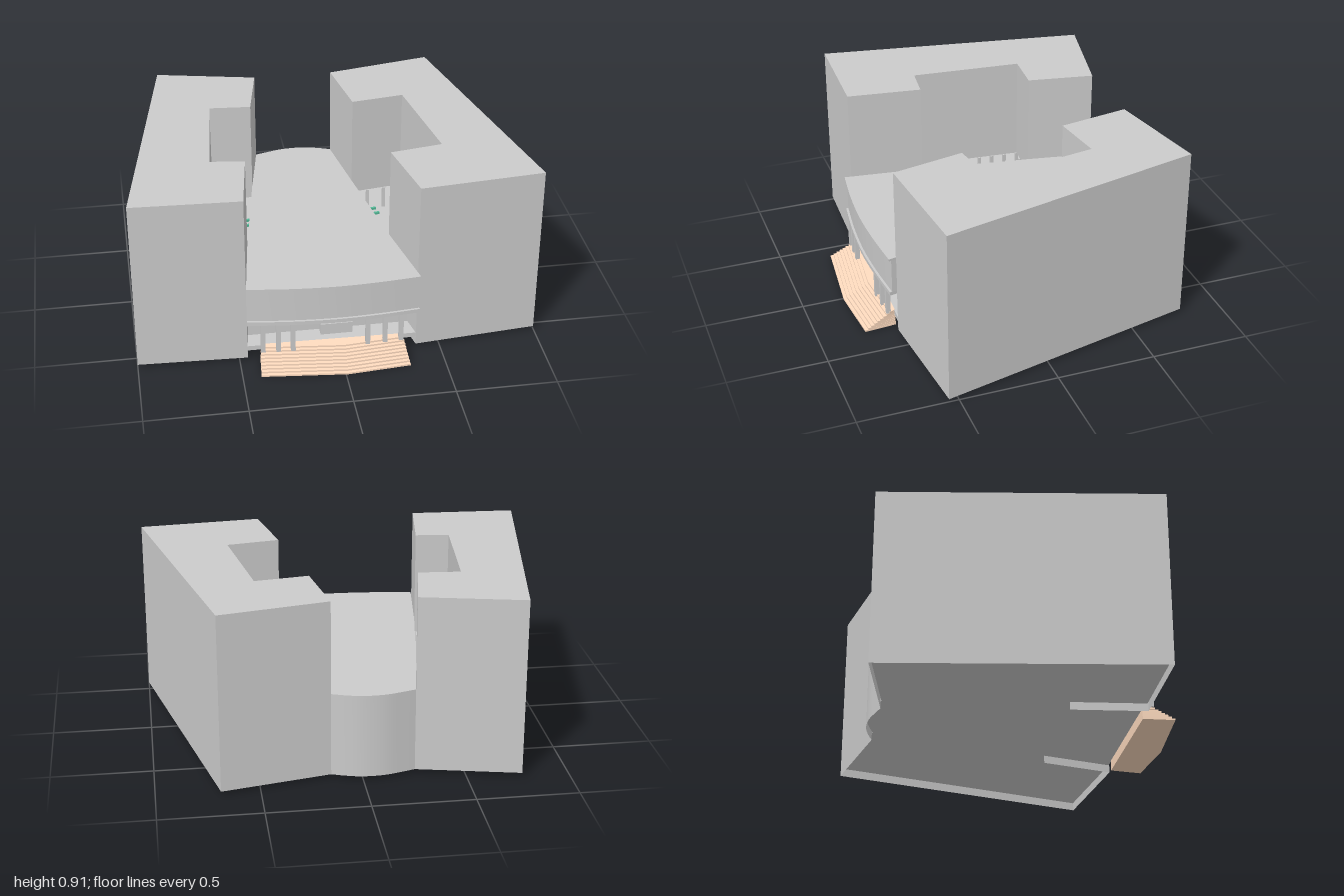
import * as THREE from 'three';
import { toCreasedNormals } from 'three/addons/utils/BufferGeometryUtils.js';

const grey = new THREE.MeshStandardMaterial({ color: 0xcccccc, side: THREE.DoubleSide });
const stone = new THREE.MeshStandardMaterial({ color: 0xffdcc0 });
const green = new THREE.MeshStandardMaterial({ color: 0x55bb99 });

// plan outlines are lists of [x, z]
const WING_RIGHT = [[-1, 0.575], [-0.46, 0.597], [-0.41, 0.22], [-0.58, 0.2], [-0.53, -0.36],
  [-0.32, -0.345], [-0.26, -0.68], [-0.77, -0.79]];
const WING_LEFT = [[1, 0.55], [0.38, 0.608], [0.305, 0.24], [0.57, 0.195], [0.48, -0.36],
  [0.21, -0.32], [0.15, -0.68], [0.69, -0.79]];

function curve(points, n) {
  return new THREE.SplineCurve(points.map(p => new THREE.Vector2(...p))).getPoints(n).map(p => [p.x, p.y]);
}
// gentle bow of the front, set back by d
const frontArc = d => curve([[-0.463, 0.633 - d], [-0.25, 0.659 - d], [-0.03, 0.671 - d],
  [0.18, 0.664 - d], [0.387, 0.646 - d]], 20);
const backArc = curve([[0.15, -0.68], [0.09, -0.702], [0.02, -0.72], [-0.05, -0.725],
  [-0.12, -0.719], [-0.19, -0.701], [-0.26, -0.68]], 24);

export function createModel() {
  const model = new THREE.Group();

  function add(name, geometry, material = grey, parent = model) {
    const mesh = new THREE.Mesh(geometry, material);
    mesh.name = name;
    parent.add(mesh);
    return mesh;
  }
  // plan outline raised from y0 to y1
  function slab(name, plan, y0, y1, material = grey, parent = model) {
    const shape = new THREE.Shape(plan.map(([x, z]) => new THREE.Vector2(x, -z)));
    const g = new THREE.ExtrudeGeometry(shape, { depth: y1 - y0, bevelEnabled: false });
    g.rotateX(-Math.PI / 2).translate(0, y0, 0);
    return add(name, toCreasedNormals(g, 0.5), material, parent);
  }
  // thin upright wall along a plan path
  function wall(name, path, y0, y1) {
    const pos = [], idx = [];
    path.forEach(([x, z], i) => {
      pos.push(x, y0, z, x, y1, z);
      if (i) {
        const a = 2 * i - 2;
        idx.push(a, a + 2, a + 1, a + 1, a + 2, a + 3);
      }
    });
    const g = new THREE.BufferGeometry();
    g.setAttribute('position', new THREE.Float32BufferAttribute(pos, 3));
    g.setIndex(idx);
    return add(name, toCreasedNormals(g, 0.5));
  }
  function column(x, z, y0, y1, w = 0.02) {
    const g = new THREE.BoxGeometry(w, y1 - y0, w);
    add('column', g).position.set(x, (y0 + y1) / 2, z);
  }

  // wings: solid upper storeys over an open, column-lined lower gallery
  for (const [side, plan] of [['right', WING_RIGHT], ['left', WING_LEFT]]) {
    slab(side + 'Wing', plan, 0.37, 0.91);
    const path = [plan[6], plan[7], plan[0], plan[1], plan[2]];
    wall(side + 'WingLowerWall', side === 'left' ? path.reverse() : path, 0.015, 0.37);
    // gallery columns around the courtyard
    for (let k = 2; k < 5; k++) {
      const [a, b] = [plan[k], plan[k + 1]];
      const n = k === 3 ? 8 : 3;
      for (let i = 0; i < n; i++) {
        const t = i / n;
        column(a[0] + (b[0] - a[0]) * t, a[1] + (b[1] - a[1]) * t, 0.245, 0.37, 0.016);
      }
    }
  }

  // central hall roof and bowed rear wall
  const hall = d => [...frontArc(d), [0.305, 0.24], [0.21, -0.32], ...backArc, [-0.32, -0.345], [-0.41, 0.22]];
  slab('hallRoof', hall(0), 0.428, 0.44);
  wall('hallBackWall', backArc, 0.015, 0.43);

  // front band between roof edge and floor slab
  wall('frontBand', [[-0.458, 0.59], ...frontArc(0.012), [0.382, 0.6]], 0.25, 0.43);

  // upper and ground floors over the whole footprint
  const inset = p => [p[0] * 0.994, p[1] * 0.994];
  const floor = front => [inset(WING_RIGHT[0]), inset(WING_RIGHT[1]), ...front, inset(WING_LEFT[1]),
    inset(WING_LEFT[0]), inset(WING_LEFT[7]), ...backArc.map(inset), inset(WING_RIGHT[7])];
  slab('upperFloor', floor(frontArc(0)), 0.23, 0.25);
  slab('groundFloor', floor([]), 0.055, 0.08);

  // entrance: recessed wall, desk and columns
  wall('entranceWall', [[-0.45, 0.5], [0.36, 0.5]], 0.08, 0.23);
  add('entranceDesk', new THREE.BoxGeometry(0.16, 0.06, 0.04)).position.set(-0.01, 0.11, 0.53);
  for (const x of [-0.387, -0.312, -0.24, 0.13, 0.217, 0.298])
    column(x, 0.645 - 0.1 * (x + 0.03) ** 2, 0.07, 0.23, 0.022);

  // entrance stairs, wide treads following the bent front edge
  const stairs = new THREE.Group();
  stairs.name = 'entranceStairs';
  model.add(stairs);
  const STEPS = 9;
  for (let i = 0; i < STEPS; i++) {
    const d = i * 0.0165, s = i * 0.0015;
    slab('step', [[-0.41 + s, 0.745 - d], [0.012, 0.788 - d], [0.325 - s, 0.762 - d],
      [0.312 - s, 0.6], [-0.397 + s, 0.585]], i * 0.009, (i + 1) * 0.009, stone, stairs);
  }

  // small seats in the courtyards
  const seat = new THREE.BoxGeometry(0.03, 0.012, 0.012);
  const putSeat = (x, z) => {
    const m = add('courtyardSeat', seat, green);
    m.position.set(x, 0.256, z);
    m.rotation.y = 0.2;
  };
  for (let i = 0; i < 8; i++) {
    putSeat(0.42 + i * 0.009, -0.2 + i * 0.052);
    if (i < 7) putSeat(0.49 + i * 0.008, -0.22 + i * 0.058);
    if (i < 5) putSeat(-0.51 - i * 0.013, -0.18 + i * 0.06);
  }
  for (const [x, z] of [[-0.42, -0.31], [-0.35, -0.3], [-0.42, -0.25], [-0.35, -0.25],
    [0.26, -0.3], [0.33, -0.32], [0.27, -0.25], [0.34, -0.27]]) putSeat(x, z);

  return model;
}
